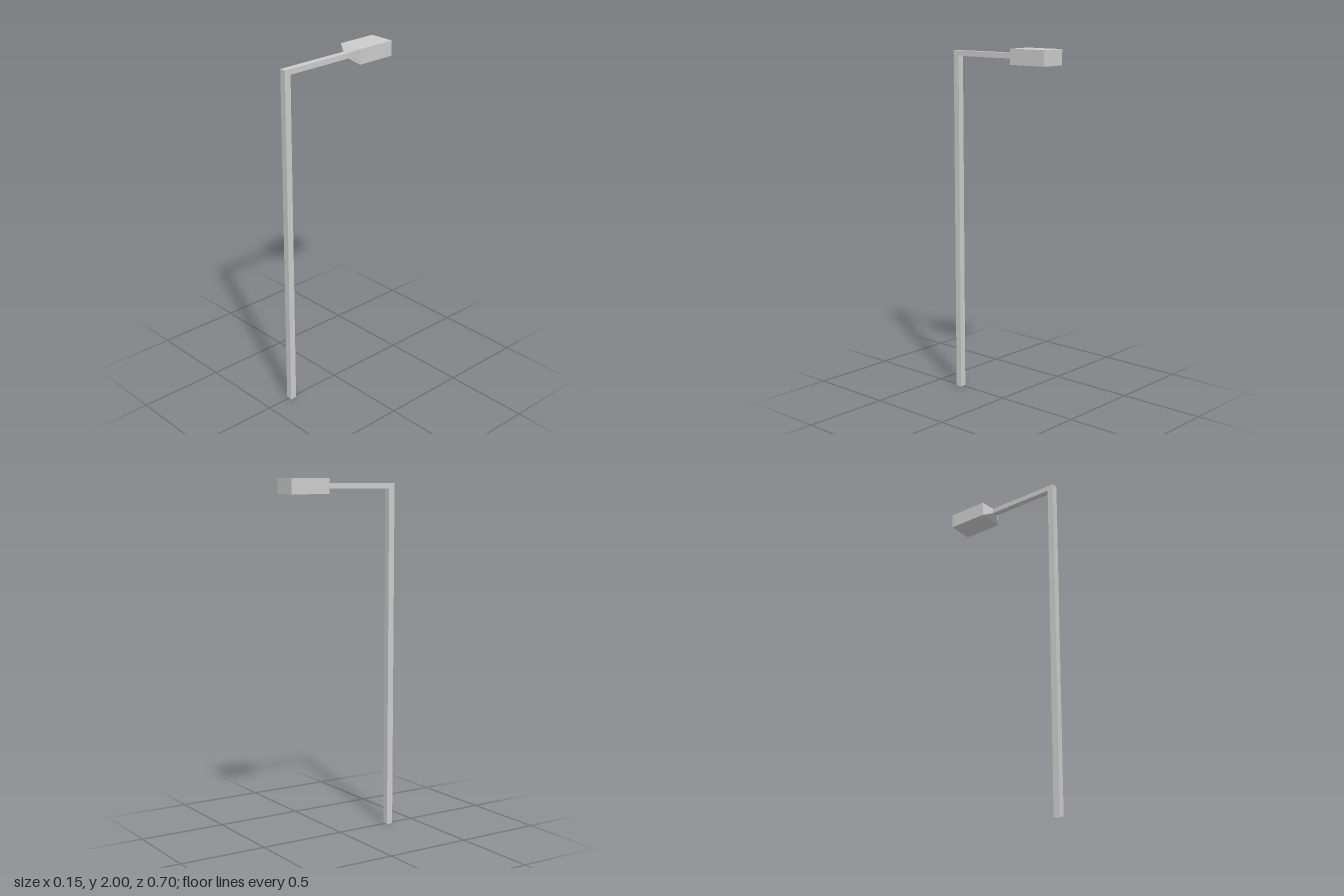
import * as THREE from 'three';

const material = new THREE.MeshStandardMaterial({ color: 0xcccccc, flatShading: true, side: THREE.DoubleSide });

// Joins rectangular sections [halfWidth, outer y, outer z, inner y, inner z] into a square tube.
function loft(name, sections, capEnd = false) {
  const rings = sections.map(([w, ya, za, yb, zb]) => [[-w, ya, za], [w, ya, za], [w, yb, zb], [-w, yb, zb]]);
  const points = [];
  const quad = (a, b, c, d) => points.push(...a, ...b, ...c, ...a, ...c, ...d);
  for (let s = 0; s < rings.length - 1; s++) {
    const p = rings[s], q = rings[s + 1];
    for (let i = 0; i < 4; i++) {
      const j = (i + 1) % 4;
      quad(p[i], p[j], q[j], q[i]);
    }
  }
  if (capEnd) quad(...rings[rings.length - 1]);
  const geometry = new THREE.BufferGeometry();
  geometry.setAttribute('position', new THREE.Float32BufferAttribute(points, 3));
  geometry.computeVertexNormals();
  const mesh = new THREE.Mesh(geometry, material);
  mesh.name = name;
  return mesh;
}

export function createModel() {
  const group = new THREE.Group();
  group.name = 'streetLamp';

  const foot = [0.018, 0, 0.352, 0, 0.315];
  const elbow = [0.018, 1.973, 0.352, 1.943, 0.315]; // mitred corner
  const neck = [0.018, 1.973, -0.085, 1.943, -0.085];
  const headFront = [0.074, 2, -0.117, 1.915, -0.117];
  const headBack = [0.074, 2, -0.352, 1.915, -0.352];

  // Upright with an open foot, horizontal arm, then the flared lamp housing
  group.add(loft('pole', [foot, elbow]));
  group.add(loft('arm', [elbow, neck]));
  group.add(loft('lampHead', [neck, headFront, headBack], true));
  return group;
}
